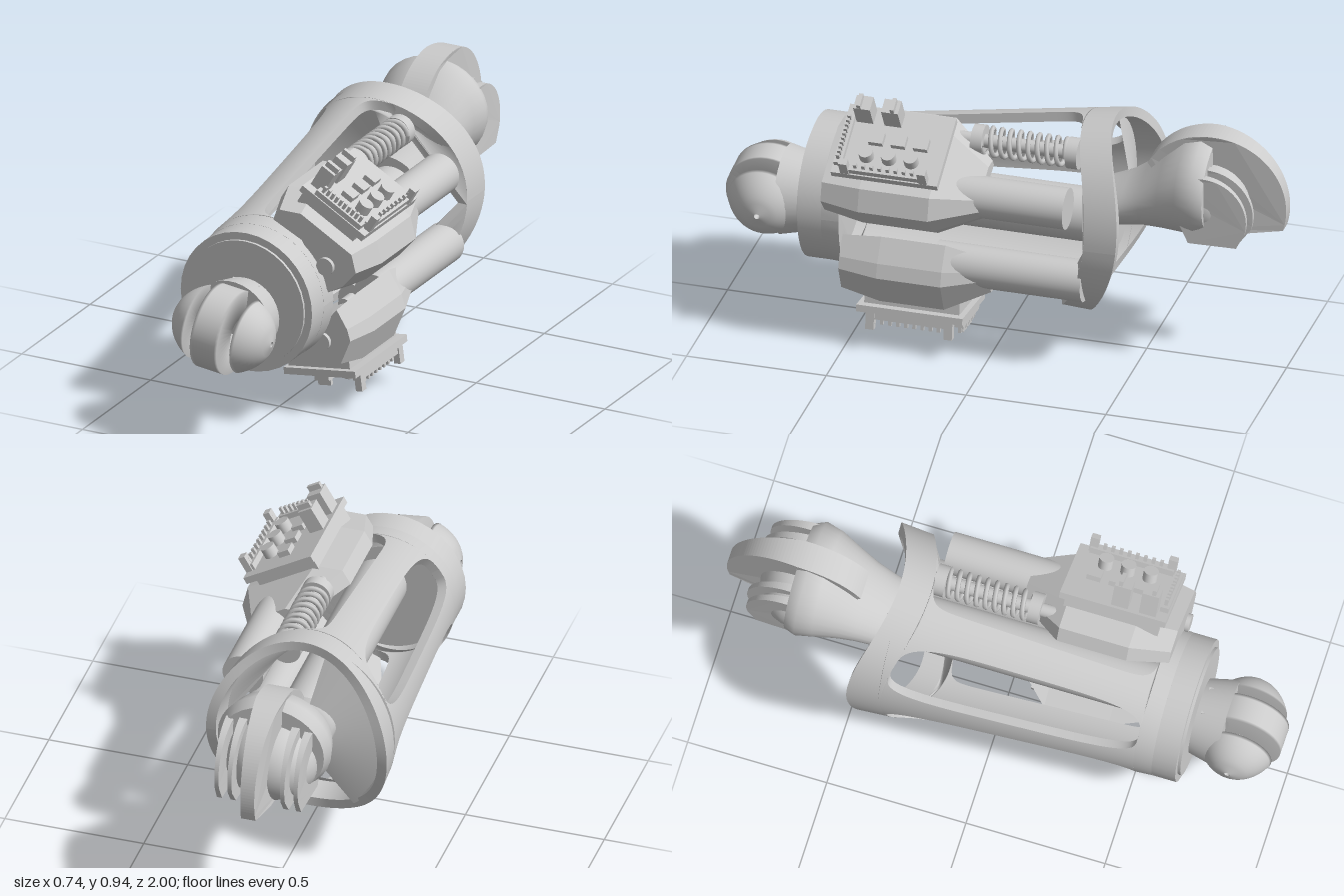
import * as THREE from 'three';

const { lerp, degToRad } = THREE.MathUtils;
const smooth = new THREE.MeshStandardMaterial({ color: 0xcccccc, side: THREE.DoubleSide });
const faceted = new THREE.MeshStandardMaterial({ color: 0xcccccc, flatShading: true });

function add(parent, name, geo, x = 0, y = 0, z = 0, mat = smooth) {
  const m = new THREE.Mesh(geo, mat);
  m.name = name;
  m.position.set(x, y, z);
  parent.add(m);
  return m;
}
const box = (p, n, w, h, d, x, y, z) => add(p, n, new THREE.BoxGeometry(w, h, d), x, y, z);
// cylinder lying along z from z0 to z1
const rod = (p, n, r, z0, z1, x, y, r1 = r) =>
  add(p, n, new THREE.CylinderGeometry(r1, r, z1 - z0, 36).rotateX(Math.PI / 2), x, y, (z0 + z1) / 2);

// Skin over closed rings of [x, y, z], ordered by rising z, with end caps
function loft(rings) {
  const n = rings[0].length, pos = rings.flat(2), idx = [];
  for (let i = 0; i < rings.length - 1; i++)
    for (let j = 0; j < n; j++) {
      const k = (j + 1) % n, a = i * n + j, b = i * n + k;
      idx.push(a, b, b + n, a, b + n, a + n);
    }
  for (const end of [0, 1]) {
    const ring = rings[end ? rings.length - 1 : 0], c = pos.length / 3;
    pos.push(...[0, 1, 2].map(k => ring.reduce((s, p) => s + p[k], 0) / n), ...ring.flat());
    for (let j = 0; j < n; j++) {
      const a = c + 1 + j, b = c + 1 + (j + 1) % n;
      idx.push(c, end ? a : b, end ? b : a);
    }
  }
  const g = new THREE.BufferGeometry();
  g.setAttribute('position', new THREE.Float32BufferAttribute(pos, 3));
  g.setIndex(idx);
  g.computeVertexNormals();
  return g;
}

// Curved piece of the shell between two angles (functions of t, degrees) and two t values
function shellPatch(angA, angB, t0, t1, nu, nv) {
  const g = new THREE.BoxGeometry(1, 1, 1, nu, nv, 1), p = g.attributes.position;
  for (let i = 0; i < p.count; i++) {
    const v = (1 - Math.cos(Math.PI * (p.getY(i) + 0.5))) / 2;
    const a = degToRad(lerp(angA(v), angB(v), p.getX(i) + 0.5));
    const t = lerp(t0, t1, v), inset = 0.035 * (0.5 - p.getZ(i));
    const c = Math.cos(a), s = Math.sin(a);
    const back = -0.34 - 0.04 * s - 0.13 * c * c;
    p.setXYZ(i, lerp(-0.04, -0.03, t) + (lerp(0.325, 0.255, t) - inset) * c,
      lerp(0.5, 0.445, t) + (lerp(0.365, 0.255, t) - inset) * s, lerp(back, 0.6, t));
  }
  g.computeVertexNormals();
  return g;
}

function buildShell(root) {
  const T0 = 0.11, T1 = 0.94;
  add(root, 'shellBackRing', shellPatch(() => 0, () => 360, 0, T0, 96, 2));
  add(root, 'shellFrontRing', shellPatch(() => 0, () => 360, T1, 1, 72, 1));
  // rounded windows: start angle, end angle, corner sharpness
  const windows = [[121, 163, 4], [182, 225, 4], [260, 457, 14]];
  const half = ([a, b, p], v) => (b - a) / 2 * Math.pow(Math.max(0, 1 - Math.abs(2 * v - 1) ** p), 1 / p);
  windows.forEach((w, i) => {
    const next = windows[(i + 1) % 3], turn = i === 2 ? 360 : 0;
    add(root, 'shellRib', shellPatch(
      v => (w[0] + w[1]) / 2 + half(w, v),
      v => (next[0] + next[1]) / 2 + turn - half(next, v), T0, T1, 24, 40));
  });
  // half bulkhead joining the rear neck to the closed side of the shell
  const web = new THREE.CylinderGeometry(0.32, 0.1, 0.06, 32, 4, true, Math.PI * 1.08, Math.PI * 0.74);
  add(root, 'rearBulkhead', web.rotateX(Math.PI / 2).scale(1, 1.08, 1), -0.04, 0.51, -0.39);
}

// Ring-like lobe turned about the x axis: radius follows r(x), with a pin hole
function lobe(x0, x1, r, hole) {
  const pts = [new THREE.Vector2(hole, x0)];
  for (let i = 0; i <= 10; i++) {
    const x = lerp(x0, x1, i / 10);
    pts.push(new THREE.Vector2(Math.max(hole, r(x)), x));
  }
  pts.push(new THREE.Vector2(hole, x1), new THREE.Vector2(hole, x0));
  return new THREE.LatheGeometry(pts, 40).rotateZ(-Math.PI / 2);
}

function buildFrontKnuckle(root) {
  const g = new THREE.Group();
  g.name = 'frontKnuckle';
  g.position.set(-0.03, 0.405, 0.85);
  g.rotation.z = -0.12;
  root.add(g);
  add(g, 'centreProng', lobe(-0.052, 0.052, () => 0.15, 0.05));
  box(g, 'centreProngRoot', 0.104, 0.26, 0.1, 0, 0, -0.09);
  const round = x => 0.15 * Math.sqrt(Math.max(0, 1 - (x / 0.187) ** 2));
  add(g, 'leftProng', lobe(0.092, 0.187, round, 0.01));
  add(g, 'rightProng', lobe(-0.187, -0.092, round, 0.01));
  rod(g, 'knuckleNeck', 0.132, -0.16, -0.05, 0, 0, 0.158);
}

function buildBackKnuckle(root) {
  // neck flaring into a cup: z, centre y, x radius, y radius
  const rows = [[-0.74, 0.655, 0.19, 0.17], [-0.7, 0.66, 0.205, 0.187], [-0.64, 0.655, 0.19, 0.178],
    [-0.57, 0.625, 0.165, 0.145], [-0.5, 0.59, 0.145, 0.108], [-0.43, 0.56, 0.132, 0.088], [-0.34, 0.53, 0.12, 0.08]];
  add(root, 'backCup', loft(rows.map(([z, cy, rx, ry]) => Array.from({ length: 32 }, (_, i) => {
    const a = i / 32 * Math.PI * 2;
    return [-0.035 + rx * Math.cos(a), cy + ry * Math.sin(a), z];
  }))));
  add(root, 'backBall', new THREE.SphereGeometry(0.145, 28, 18).scale(1.15, 1, 1), -0.035, 0.615, -0.73);
  // upright fins: centre x, thickness, radius; each thins toward its rim
  for (const [x, w, r] of [[-0.03, 0.1, 0.262], [-0.17, 0.03, 0.155], [-0.125, 0.03, 0.165],
    [0.065, 0.03, 0.165], [0.115, 0.03, 0.155]]) {
    const s = new THREE.Shape();
    s.moveTo(-0.05, -0.1);
    s.lineTo(0.12, -0.1);
    s.absarc(0, 0, r, degToRad(-17), degToRad(150), false);
    s.closePath();
    const geo = new THREE.ExtrudeGeometry(s, { depth: w, bevelEnabled: false, curveSegments: 32 });
    geo.translate(0, 0, -w / 2).rotateY(Math.PI / 2);
    const p = geo.attributes.position;
    for (let i = 0; i < p.count; i++)
      p.setX(i, p.getX(i) * (1 - 0.5 * Math.max(0, -p.getZ(i)) / r));
    geo.computeVertexNormals();
    add(root, 'backFin', geo, x, 0.6, -0.735);
  }
}

class Helix extends THREE.Curve {
  constructor(r, len, turns) { super(); Object.assign(this, { r, len, turns }); }
  getPoint(t, out = new THREE.Vector3()) {
    const a = t * this.turns * Math.PI * 2;
    return out.set(this.r * Math.cos(a), this.r * Math.sin(a), t * this.len);
  }
}

// Circuit board with connectors, pins and round components; y points outward
function buildBoard(root, x, y, z, flip, tilt) {
  const g = new THREE.Group();
  g.name = 'circuitBoard';
  g.position.set(x, y, z);
  g.rotation.set(flip, 0, tilt);
  root.add(g);
  box(g, 'boardPlate', 0.28, 0.025, 0.38, 0, 0, 0);
  box(g, 'boardBase', 0.24, 0.06, 0.34, -0.01, -0.035, 0);
  box(g, 'frontHeader', 0.2, 0.025, 0.03, 0.01, 0.02, 0.17);
  box(g, 'sideHeader', 0.03, 0.03, 0.3, 0.12, 0.02, 0);
  for (let i = 0; i < 10; i++) {
    box(g, 'frontPin', 0.01, 0.03, 0.012, -0.07 + i * 0.018, 0.042, 0.17);
    box(g, 'sidePin', 0.012, 0.025, 0.012, 0.12, 0.042, -0.13 + i * 0.029);
  }
  for (const k of [-1, 1]) {
    box(g, 'tallConnector', 0.055, 0.09, 0.06, -0.1, 0.055, 0.07 + k * 0.05);
    box(g, 'connectorBlade', 0.05, 0.025, 0.014, -0.098, 0.108, 0.07 + k * 0.06);
    box(g, 'edgeClip', 0.025, 0.075, 0.03, 0.127, 0.035, k * 0.14);
  }
  for (let i = 0; i < 3; i++) {
    add(g, 'capacitor', new THREE.CylinderGeometry(0.026, 0.026, 0.04, 20), 0.06, 0.03, -0.08 + i * 0.08);
    box(g, 'chip', 0.045, 0.025, 0.05, -0.01, 0.02, -0.1 + i * 0.08);
  }
}

// Motor unit: faceted housing, drive tube, spring on a rod, and gear hub
function buildDrive(root, { outline, z, tube, spring, springZ, hub }) {
  const g = new THREE.Group();
  g.name = 'driveUnit';
  root.add(g);
  const rows = [[z[0], 0.5], [z[0] + 0.16, 1], [z[1] - 0.14, 1], [z[1], 0.82]];
  add(g, 'housing', loft(rows.map(([zz, s]) =>
    outline.map(([px, py]) => [tube[0] + (px - tube[0]) * s, tube[1] + (py - tube[1]) * s, zz]))),
  0, 0, 0, faceted);
  rod(g, 'driveTube', 0.073, tube[2], z[0] + 0.2, tube[0], tube[1]);
  rod(g, 'gearHub', 0.032, z[1] - 0.05, z[1] + 0.015, hub[0], hub[1]);
  const [s0, s1] = springZ, [sx, sy] = spring;
  rod(g, 'springRod', 0.024, s0 - 0.02, s1 + 0.1, sx, sy);
  add(g, 'spring', new THREE.TubeGeometry(new Helix(0.047, s1 - s0, 9), 200, 0.009, 6), sx, sy, s0);
  rod(g, 'springStop', 0.055, s0 - 0.04, s0, sx, sy);
  rod(g, 'springSeat', 0.055, s1, s1 + 0.04, sx, sy);
}

export function createModel() {
  const root = new THREE.Group();
  root.name = 'armSegment';

  buildShell(root);

  // end plate with raised rim
  rod(root, 'endPlate', 0.255, 0.58, 0.685, -0.03, 0.445);
  rod(root, 'endPlateFace', 0.228, 0.68, 0.695, -0.03, 0.445);
  rod(root, 'coreTube', 0.095, -0.4, 0.6, -0.01, 0.48);

  buildFrontKnuckle(root);
  buildBackKnuckle(root);

  buildDrive(root, {
    outline: [[-0.03, 0.74], [0.1, 0.68], [0.18, 0.55], [0.23, 0.46], [0.3, 0.5],
      [0.36, 0.57], [0.34, 0.65], [0.1, 0.79], [0, 0.79]],
    z: [0.02, 0.57], tube: [0.213, 0.615, -0.28], spring: [0.06, 0.75], springZ: [-0.24, 0.06], hub: [0.22, 0.585],
  });
  buildDrive(root, {
    outline: [[-0.08, 0.18], [0, 0.13], [0.26, 0.18], [0.305, 0.29], [0.29, 0.34],
      [0.24, 0.42], [0.2, 0.37], [0.1, 0.26]],
    z: [-0.01, 0.52], tube: [0.2, 0.335, -0.34], spring: [0.04, 0.23], springZ: [-0.29, 0], hub: [0.18, 0.28],
  });
  buildBoard(root, 0.22, 0.765, 0.34, 0, -0.53);
  buildBoard(root, 0.135, 0.13, 0.27, Math.PI, -0.13);
  return root;
}
